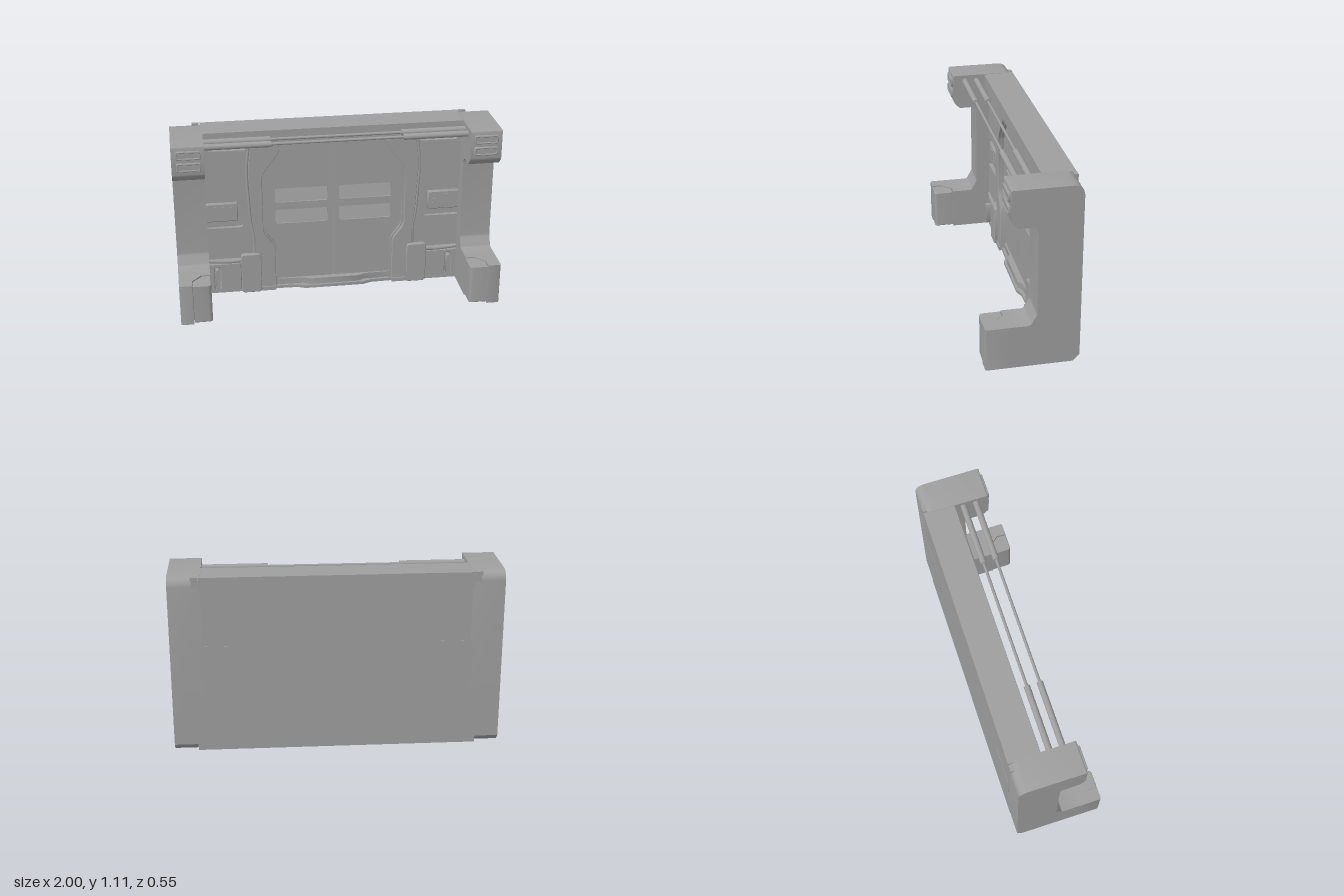
import * as THREE from 'three';
import { toCreasedNormals } from 'three/addons/utils/BufferGeometryUtils.js';

const paint = new THREE.MeshStandardMaterial({ color: 0x9e9e9e });

function add(parent, name, geometry, x = 0, y = 0, z = 0) {
  const mesh = new THREE.Mesh(geometry, paint);
  mesh.name = name;
  mesh.position.set(x, y, z);
  parent.add(mesh);
}

// box given by its limits
function block(parent, name, x0, x1, y0, y1, z0, z1) {
  const g = new THREE.BoxGeometry(Math.abs(x1 - x0), y1 - y0, z1 - z0);
  add(parent, name, g, (x0 + x1) / 2, (y0 + y1) / 2, (z0 + z1) / 2);
}

const outline = (pts) => new THREE.Shape(pts.map(([x, y]) => new THREE.Vector2(x, y)));

// rectangle with rounded corners
function roundRect(x0, x1, y0, y1, r, C = THREE.Shape) {
  const s = new C();
  s.absarc(x1 - r, y1 - r, r, 0, Math.PI / 2);
  s.absarc(x0 + r, y1 - r, r, Math.PI / 2, Math.PI);
  s.absarc(x0 + r, y0 + r, r, Math.PI, 1.5 * Math.PI);
  s.absarc(x1 - r, y0 + r, r, 1.5 * Math.PI, 2 * Math.PI);
  s.closePath();
  return s;
}

function extrude(shape, depth, bevel = 0) {
  const g = new THREE.ExtrudeGeometry(shape, {
    depth: depth - 2 * bevel, curveSegments: 6, bevelEnabled: bevel > 0,
    bevelSize: bevel, bevelThickness: bevel, bevelOffset: -bevel, bevelSegments: 1,
  });
  return toCreasedNormals(g.translate(0, 0, bevel), 0.6);
}

// plate facing the front between two depths
function plate(parent, name, shape, z0, z1, bevel = 0) {
  add(parent, name, extrude(shape, z1 - z0, bevel), 0, 0, z0);
}

// floor plan of [x, z] points raised between two heights
function slab(parent, name, plan, y0, y1, bevel = 0) {
  const shape = outline(plan.map(([x, z]) => [x, -z]));
  add(parent, name, extrude(shape, y1 - y0, bevel).rotateX(-Math.PI / 2), 0, y0, 0);
}

// side profile of a pillar up to the foot block, drawn with -z to the right
function pillarShape() {
  const s = new THREE.Shape();
  s.moveTo(-0.13, 0);
  s.lineTo(0.235, 0);
  s.lineTo(0.2735, 0.04);
  s.lineTo(0.2735, 1.05);
  s.quadraticCurveTo(0.27, 1.105, 0.215, 1.11);
  s.lineTo(-0.12, 1.11);
  s.quadraticCurveTo(-0.13, 1.11, -0.13, 1.1);
  s.lineTo(-0.13, 0.94);
  s.quadraticCurveTo(-0.13, 0.925, -0.12, 0.913);
  s.lineTo(-0.09, 0.882);
  s.lineTo(-0.01, 0.882);
  s.quadraticCurveTo(0.022, 0.88, 0.022, 0.845);
  s.lineTo(0.022, 0.345);
  s.quadraticCurveTo(0.022, 0.335, 0.018, 0.328);
  s.lineTo(-0.01, 0.277);
  s.quadraticCurveTo(-0.015, 0.266, -0.03, 0.266);
  s.lineTo(-0.13, 0.266);
  s.closePath();
  return s;
}

// contour of the door opening, top to bottom
const contour = [[0.34, 1.01], [0.34, 0.965], [0.352, 0.935], [0.44, 0.82], [0.452, 0.785],
  [0.452, 0.425], [0.44, 0.39], [0.39, 0.325], [0.378, 0.29], [0.378, 0.015]];
// seam between door frame and side panel
const seam = [[0.525, 1.01], [0.54, 0.9], [0.545, 0.79], [0.538, 0.65], [0.53, 0.5], [0.512, 0.38], [0.515, 0.2]];

function buildSide(s) {
  const side = new THREE.Group();
  side.name = s > 0 ? 'leftSide' : 'rightSide';
  const mir = (pts, d = 0) => pts.map(([x, y]) => [s * (x + d), y]);
  const rect = (x0, x1, y0, y1, r, C) => roundRect(Math.min(s * x0, s * x1), Math.max(s * x0, s * x1), y0, y1, r, C);

  // pillar with overhanging head
  add(side, 'pillar', extrude(pillarShape(), 0.195).rotateY(Math.PI / 2), s > 0 ? 0.805 : -1, 0, 0);
  for (const y of [0.954, 1.029]) {
    const rim = rect(0.827, 0.972, y, y + 0.054, 0.007);
    rim.holes.push(rect(0.838, 0.961, y + 0.011, y + 0.043, 0.004, THREE.Path));
    plate(side, 'headLampRim', rim, 0.12, 0.143, 0.003);
    block(side, 'headLampLens', s * 0.835, s * 0.965, y + 0.008, y + 0.046, 0.12, 0.139);
  }

  // foot, notched at its inner front corner and closed by a rounded cover
  slab(side, 'foot', mir([[1, 0.13], [1, 0.265], [0.997, 0.272], [0.99, 0.275], [0.92, 0.275],
    [0.92, 0.214], [0.862, 0.146], [0.805, 0.146], [0.805, 0.13]]), 0, 0.266);
  slab(side, 'footCover', mir([[0.917, 0.275], [0.917, 0.212], [0.86, 0.148], [0.805, 0.148], [0.805, 0.255],
    [0.807, 0.265], [0.814, 0.272], [0.825, 0.275]]), 0.01, 0.262, 0.004);

  // rear clip on the top edge and shallow hatch
  block(side, 'rearClip', s * 0.82, s * 0.862, 1.085, 1.11, -0.2735, -0.25);
  plate(side, 'rearHatch', rect(0.575, 0.82, 0.42, 0.68, 0.02), -0.275, -0.26);

  // door frame and its inner lip
  plate(side, 'doorFrame', outline([...mir(contour), [s * 0.503, 0.015], ...mir(seam, -0.008).reverse()]), -0.2, -0.1, 0.003);
  plate(side, 'frameLip', outline([...mir(contour, -0.011), ...mir(contour, 0.01).reverse()]), -0.2, -0.12);

  // hose lying in the seam
  const curve = new THREE.CatmullRomCurve3(seam.map(([x, y]) => new THREE.Vector3(s * x, y, -0.114)));
  add(side, 'seamHose', new THREE.TubeGeometry(curve, 40, 0.009, 8));

  // upper side panel with a control bay running behind the pillar
  const panel = outline([...mir(seam.slice(0, 6), 0.008), [s * 0.523, 0.24], [s * 0.84, 0.24], [s * 0.84, 1.01]]);
  panel.holes.push(rect(0.578, 0.83, 0.455, 0.662, 0.02, THREE.Path));
  panel.holes.push(rect(0.545, 0.78, 0.974, 0.992, 0.008, THREE.Path));
  plate(side, 'sidePanel', panel, -0.2, -0.11);
  block(side, 'controlBayBack', s * 0.57, s * 0.835, 0.45, 0.67, -0.21, -0.135);
  plate(side, 'controlBox', rect(0.607, 0.83, 0.498, 0.622, 0.008), -0.15, -0.112, 0.006);
  block(side, 'controlScreen', s * 0.69, s * 0.765, 0.525, 0.6, -0.12, -0.109);
  for (let i = 0; i < 3; i++) block(side, 'controlKey', s * 0.63, s * 0.655, 0.525 + i * 0.027, 0.543 + i * 0.027, -0.12, -0.109);

  // lower side panel with slot, handle and a hose above it
  const lower = outline(mir([[0.6, 0], [0.84, 0], [0.84, 0.205], [0.6, 0.205]]));
  lower.holes.push(rect(0.733, 0.772, 0.025, 0.182, 0.015, THREE.Path));
  plate(side, 'lowerPanel', lower, -0.2, -0.105, 0.004);
  plate(side, 'handle', rect(0.74, 0.765, 0.03, 0.176, 0.01), -0.15, -0.076);
  const lowerPath = new THREE.CatmullRomCurve3([[0.59, 0.222], [0.66, 0.217], [0.74, 0.221], [0.82, 0.228]]
    .map(([x, y]) => new THREE.Vector3(s * x, y, -0.114)));
  add(side, 'lowerHose', new THREE.TubeGeometry(lowerPath, 16, 0.014, 8));

  // buttress beside the door and the strip closing the floor edge
  plate(side, 'buttress', rect(0.472, 0.6, 0, 0.27, 0.02), -0.2, -0.08, 0.004);
  block(side, 'buttressFoot', s * 0.38, s * 0.49, 0, 0.026, -0.2, -0.092);
  block(side, 'floorStrip', s * 0.48, s * 0.81, 0, 0.014, -0.2, -0.1045);

  // door leaf with two sloped windows
  const leaf = outline([...mir(contour, -0.005), [s * 0.0025, 0.015], [s * 0.0025, 1.01]]);
  for (const y of [0.45, 0.596]) {
    leaf.holes.push(rect(0.036, 0.37, y, y + 0.096, 0.012, THREE.Path));
    const pane = outline([[0.2, y - 0.005], [0.146, y - 0.005], [0.174, y + 0.1], [0.2, y + 0.1]]);
    add(side, 'doorWindow', extrude(pane, 0.338).rotateY(Math.PI / 2), s > 0 ? 0.034 : -0.372, 0, 0);
  }
  plate(side, 'doorLeaf', leaf, -0.2, -0.138);
  return side;
}

export function createModel() {
  const model = new THREE.Group();
  model.name = 'gateway';

  // wall and top beam
  block(model, 'backWall', -0.855, 0.855, 0, 1.09, -0.2735, -0.19);
  const beam = outline([[0.2735, 1.01], [0.2735, 1.108], [0.082, 1.108], [0.08, 1.106], [0.08, 1.022], [0.09, 1.01]]);
  add(model, 'topBeam', extrude(beam, 1.63).rotateY(Math.PI / 2), -0.815, 0, 0);

  // threshold, bulging forward in the middle
  slab(model, 'threshold', [[-0.39, -0.2], [-0.39, -0.112], [-0.24, -0.108], [-0.19, -0.086], [0.19, -0.086],
    [0.24, -0.108], [0.39, -0.112], [0.39, -0.2]], 0, 0.02);
  slab(model, 'thresholdStep', [[-0.38, -0.2], [-0.38, -0.128], [-0.2, -0.124], [-0.16, -0.1], [0.16, -0.1],
    [0.2, -0.124], [0.38, -0.128], [0.38, -0.2]], 0.018, 0.06);

  // two telescopic rods between the pillar heads
  for (const z of [-0.026, 0.052]) {
    add(model, 'rod', new THREE.CylinderGeometry(0.009, 0.009, 0.84, 12).rotateZ(Math.PI / 2), 0, 1.07, z);
    for (const s of [-1, 1]) {
      add(model, 'rodSleeve', new THREE.CylinderGeometry(0.019, 0.019, 0.41, 16).rotateZ(Math.PI / 2), s * 0.608, 1.07, z);
    }
  }

  for (const s of [1, -1]) model.add(buildSide(s));
  return model;
}
